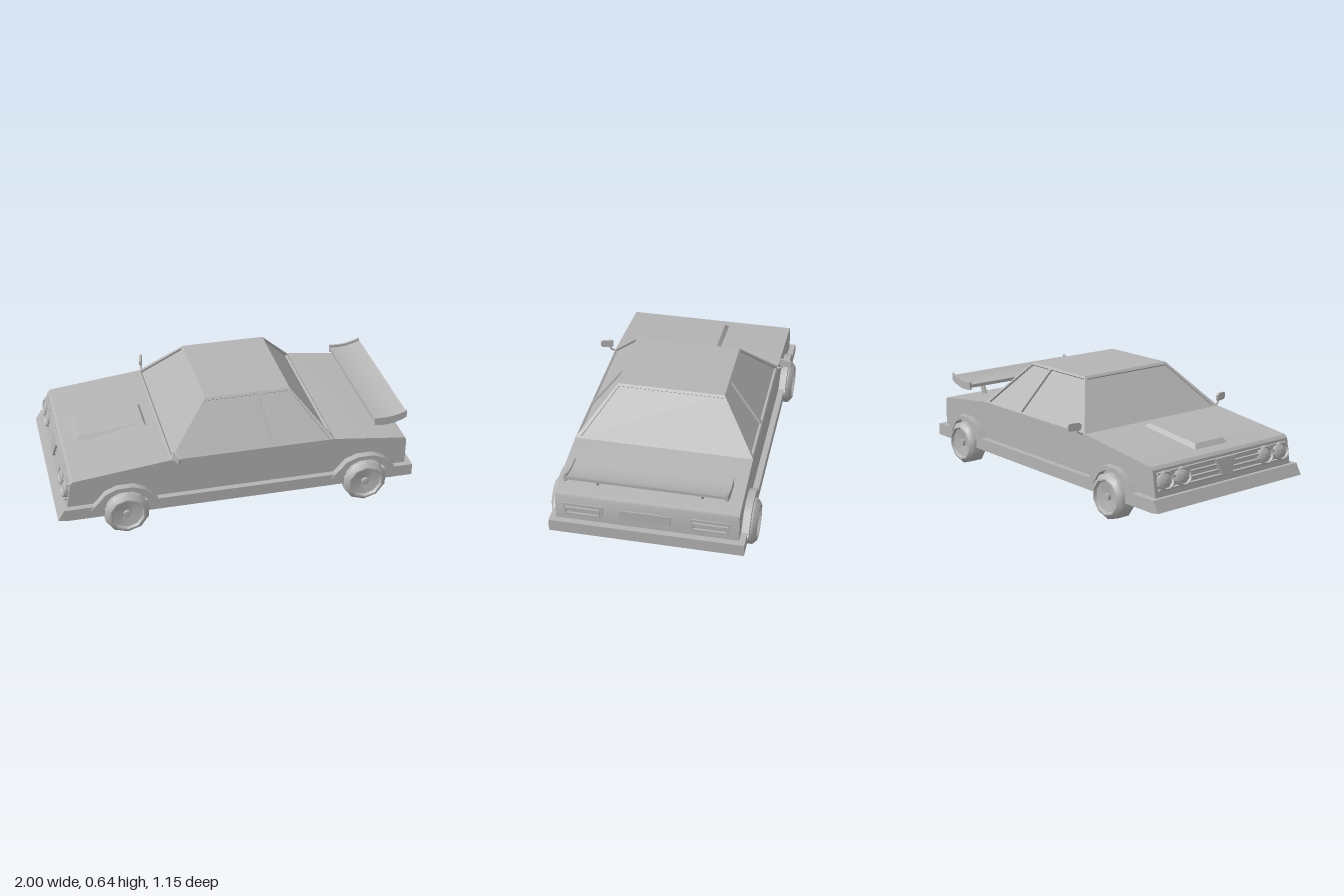
import * as THREE from 'three';
import { toCreasedNormals } from 'three/addons/utils/BufferGeometryUtils.js';

const paint = new THREE.MeshStandardMaterial({ color: 0xb4b4b4 });
paint.name = 'grey paint';

const V = (x, y, z) => new THREE.Vector3(x, y, z);
const shapeOf = (pts) => new THREE.Shape(pts.map(([x, y]) => new THREE.Vector2(x, y)));

export function createModel() {
  const car = new THREE.Group();
  car.name = 'car';

  function add(name, geometry, x = 0, y = 0, z = 0) {
    const mesh = new THREE.Mesh(geometry, paint);
    mesh.name = name;
    mesh.position.set(x, y, z);
    car.add(mesh);
    return mesh;
  }
  const box = (name, w, h, d, x, y, z) => add(name, new THREE.BoxGeometry(w, h, d), x, y, z);

  // Side profile (x, y) extruded from z0 to z1
  function slab(name, shape, z0, z1) {
    const g = new THREE.ExtrudeGeometry(shape, { depth: z1 - z0, bevelEnabled: false, curveSegments: 10 });
    g.translate(0, 0, z0);
    return add(name, toCreasedNormals(g, 0.6));
  }

  // Solid from two four-cornered loops, lower and upper, each counter-clockwise from above
  function hull(name, low, high) {
    const p = [];
    const quad = (a, b, c, d) => [a, b, c, a, c, d].forEach((v) => p.push(...v));
    for (let i = 0; i < 4; i++) {
      const j = (i + 1) % 4;
      quad(low[i], low[j], high[j], high[i]);
    }
    quad(...high);
    quad(low[3], low[2], low[1], low[0]);
    const g = new THREE.BufferGeometry();
    g.setAttribute('position', new THREE.Float32BufferAttribute(p, 3));
    g.computeVertexNormals();
    return add(name, g);
  }
  const loop = (x0, x1, z, y0, y1 = y0) => [[x0, y0, z], [x1, y1, z], [x1, y1, -z], [x0, y0, -z]];

  // Body shell and the wider skirt that forms both bumpers
  slab('body', shapeOf([[-0.95, 0.15], [0.965, 0.15], [0.965, 0.335], [0.955, 0.35], [0.545, 0.4],
    [-0.375, 0.4], [-0.905, 0.34], [-0.92, 0.325]]), -0.49, 0.49);
  slab('bumperSkirt', shapeOf([[-1, 0.125], [-0.95, 0.117], [1, 0.117], [1, 0.185], [-0.965, 0.185]]), -0.523, 0.523);

  // Bonnet scoop
  hull('bonnetScoop', loop(-0.84, -0.43, 0.122, 0.342, 0.388), loop(-0.815, -0.45, 0.098, 0.374, 0.41));

  // Cabin: recessed glass core, framed by four pierced panels and a roof plate
  hull('glass', loop(-0.36, 0.53, 0.475, 0.395), loop(-0.127, 0.322, 0.282, 0.64));
  box('roof', 0.475, 0.012, 0.59, 0.0975, 0.639, 0);

  function windowFrame(name, bl, br, tr, tl, holes) {
    const X = br.clone().sub(bl).normalize();
    const N = X.clone().cross(tl.clone().sub(bl)).normalize();
    const Y = N.clone().cross(X);
    const flat = (p) => {
      const d = p.clone().sub(bl);
      return new THREE.Vector2(d.dot(X), d.dot(Y));
    };
    const shape = new THREE.Shape([bl, br, tr, tl].map(flat));
    for (const hole of holes) {
      shape.holes.push(new THREE.Path(hole.map(([u, t]) =>
        flat(bl.clone().lerp(br, u).lerp(tl.clone().lerp(tr, u), t)))));
    }
    const g = new THREE.ExtrudeGeometry(shape, { depth: 0.012, bevelEnabled: false });
    g.translate(0, 0, -0.012);
    g.applyMatrix4(new THREE.Matrix4().makeBasis(X, Y, N).setPosition(bl));
    add(name, g);
  }
  const base = (x, s) => V(x, 0.4, 0.49 * s);
  const top = (x, s) => V(x, 0.645, 0.295 * s);
  const sideHoles = [
    [[0.025, 0.03], [0.63, 0.03], [0.62, 0.95], [0.02, 0.95]],
    [[0.652, 0.03], [0.975, 0.03], [0.98, 0.95], [0.663, 0.95]],
  ];
  const screenHole = [[[0.025, 0.04], [0.975, 0.04], [0.975, 0.95], [0.025, 0.95]]];
  windowFrame('leftWindowFrame', base(-0.375, 1), base(0.545, 1), top(0.335, 1), top(-0.14, 1), sideHoles);
  windowFrame('rightWindowFrame', base(0.545, -1), base(-0.375, -1), top(-0.14, -1), top(0.335, -1),
    sideHoles.map((h) => h.map(([u, t]) => [1 - u, t])));
  windowFrame('windscreenFrame', base(-0.375, -1), base(-0.375, 1), top(-0.14, 1), top(-0.14, -1), screenHole);
  windowFrame('rearScreenFrame', base(0.545, 1), base(0.545, -1), top(0.335, -1), top(0.335, 1), screenHole);

  // Wheels with dished rims and small hubs, under flared arches
  const wheelProfile = [[0, -0.055], [0.11, -0.055], [0.125, -0.045], [0.125, 0.03], [0.117, 0.04],
    [0.1, 0.055], [0.092, 0.055], [0.085, 0.04], [0.02, 0.028], [0.02, 0.045], [0, 0.048]]
    .map(([r, a]) => new THREE.Vector2(r, a));
  const wheelGeometry = toCreasedNormals(new THREE.LatheGeometry(wheelProfile, 10).rotateX(Math.PI / 2), 0.66);
  for (const x of [-0.628, 0.72]) {
    const arch = new THREE.Shape();
    arch.moveTo(x + 0.195, 0.165);
    [[0.16, 0.2], [0.11, 0.258], [0.045, 0.285], [-0.045, 0.285], [-0.11, 0.258], [-0.16, 0.2], [-0.195, 0.165],
      [-0.135, 0.165], [-0.085, 0.235], [-0.035, 0.26], [0.035, 0.26], [0.085, 0.235], [0.135, 0.165]]
      .forEach(([dx, y]) => arch.lineTo(x + dx, y));
    for (const s of [1, -1]) {
      const wheel = add('wheel', wheelGeometry, x, 0.127, 0.505 * s);
      if (s < 0) wheel.rotation.y = Math.PI;
      slab('wheelArch', arch, s > 0 ? 0.48 : -0.53, s > 0 ? 0.53 : -0.48);
    }
  }

  // Nose: grille bars, centre shield and twin round headlamps
  const lean = -0.2;
  for (let i = 0; i < 4; i++) box('grilleBar', 0.02, 0.01, 0.94, -0.945 + i * 0.006, 0.222 + i * 0.028, 0);
  const shield = new THREE.ExtrudeGeometry(
    shapeOf([[-0.035, -0.045], [0.035, -0.045], [0.07, 0.045], [-0.07, 0.045]]),
    { depth: 0.03, bevelEnabled: false });
  shield.rotateY(-Math.PI / 2).rotateZ(lean);
  add('grilleCentre', shield, -0.925, 0.262, 0);
  const lampProfile = [[0.052, 0], [0.052, 0.03], [0.044, 0.035], [0.038, 0.022], [0.02, 0.032], [0, 0.035]]
    .map(([r, a]) => new THREE.Vector2(r, a));
  const lampGeometry = toCreasedNormals(new THREE.LatheGeometry(lampProfile, 14), 0.5);
  lampGeometry.rotateZ(Math.PI / 2 + lean);
  for (const z of [-0.42, -0.3, 0.3, 0.42]) add('headlamp', lampGeometry, -0.922, 0.262, z);

  // Tail: lamp panels with raised rims, and a blank plate
  box('rearPlate', 0.008, 0.056, 0.272, 0.967, 0.257, 0.008);
  for (const s of [1, -1]) {
    const z = 0.34 * s;
    box('tailPanel', 0.01, 0.075, 0.21, 0.966, 0.253, z);
    for (const k of [1, -1]) {
      box('tailLampRim', 0.016, 0.006, 0.186, 0.974, 0.253 + 0.018 * k, z);
      box('tailLampRim', 0.016, 0.042, 0.006, 0.974, 0.253, z + 0.09 * k);
    }
  }

  // Rear wing: curved blade, end plates and two slanted struts
  const blade = (lift, drop) => {
    const s = new THREE.Shape();
    s.moveTo(0.795, 0.447 + lift);
    s.quadraticCurveTo(0.9, 0.435 + lift, 0.98, 0.475 + lift);
    s.lineTo(0.98, 0.458 - drop);
    s.quadraticCurveTo(0.9, 0.412 - drop, 0.795, 0.428 - drop);
    return s;
  };
  slab('wingBlade', blade(0, 0), -0.418, 0.418);
  for (const s of [1, -1]) {
    slab('wingEndPlate', blade(0.014, 0.012), 0.424 * s - 0.006, 0.424 * s + 0.006);
    slab('wingStrut', shapeOf([[0.835, 0.355], [0.875, 0.355], [0.905, 0.43], [0.87, 0.43]]),
      0.28 * s - 0.006, 0.28 * s + 0.006);
  }

  // Door mirrors on curved stalks
  for (const s of [1, -1]) {
    const stalk = new THREE.CatmullRomCurve3([V(-0.355, 0.395, 0.475 * s), V(-0.355, 0.402, 0.5 * s),
      V(-0.35, 0.412, 0.515 * s), V(-0.35, 0.43, 0.52 * s)]);
    add('mirrorStalk', new THREE.TubeGeometry(stalk, 8, 0.006, 6));
    const face = new THREE.ExtrudeGeometry(
      shapeOf([[-0.038, -0.012], [-0.03, -0.021], [0.025, -0.021], [0.038, -0.01], [0.038, 0.012],
        [0.025, 0.021], [-0.03, 0.021], [-0.038, 0.012]]),
      { depth: 0.014, bevelEnabled: false });
    face.translate(0, 0, -0.007);
    const mirror = add('mirror', face, -0.35, 0.443, 0.537 * s);
    mirror.rotation.y = -Math.PI / 2 + 0.25 * s;
  }

  return car;
}
